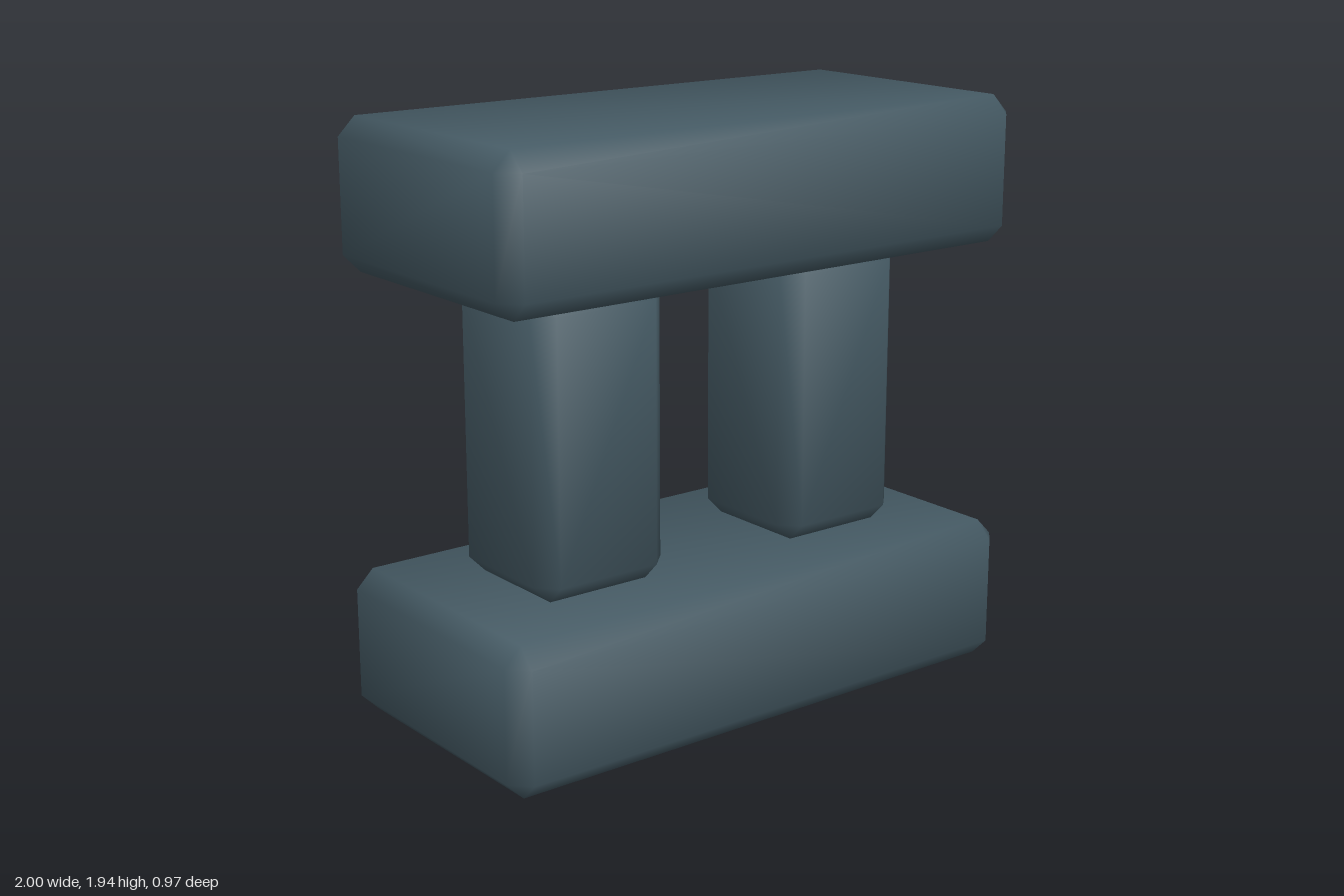
import * as THREE from 'three';
import { ConvexGeometry } from 'three/addons/geometries/ConvexGeometry.js';

const BEVEL = 0.06;

// Box with every edge chamfered and softly blended normals
function bevelledBox(w, h, d) {
  const half = [w / 2, h / 2, d / 2];
  const points = [];
  for (const sx of [-1, 1]) for (const sy of [-1, 1]) for (const sz of [-1, 1]) {
    const sign = [sx, sy, sz];
    // one point on each of the three faces that meet at this corner
    for (let axis = 0; axis < 3; axis++) {
      points.push(new THREE.Vector3(
        ...sign.map((s, i) => s * (half[i] - (i === axis ? 0 : BEVEL)))));
    }
  }
  const geometry = new ConvexGeometry(points);
  const pos = geometry.attributes.position;
  const normal = geometry.attributes.normal;
  const n = new THREE.Vector3();
  for (let v = 0; v < pos.count; v++) {
    const p = [pos.getX(v), pos.getY(v), pos.getZ(v)];
    // normal leans from its main face towards the corner
    n.set(...p.map((c, i) => Math.sign(c) * (Math.abs(c) > half[i] - BEVEL / 2 ? 1 : 0.38))).normalize();
    normal.setXYZ(v, n.x, n.y, n.z);
  }
  return geometry;
}

export function createModel() {
  const model = new THREE.Group();
  const slate = new THREE.MeshStandardMaterial({ color: 0x455a64 });
  slate.name = 'slate';

  const add = (name, geometry, x, y) => {
    const mesh = new THREE.Mesh(geometry, slate);
    mesh.name = name;
    mesh.position.set(x, y, 0);
    model.add(mesh);
  };

  // Base and top slabs
  const slab = bevelledBox(2, 0.485, 0.97);
  add('baseSlab', slab, 0, 0.2425);
  add('topSlab', slab, 0, 1.6975);

  // Two pillars between them
  const pillar = bevelledBox(0.485, 0.97, 0.485);
  add('leftPillar', pillar, 0.485, 0.97);
  add('rightPillar', pillar, -0.485, 0.97);

  return model;
}
